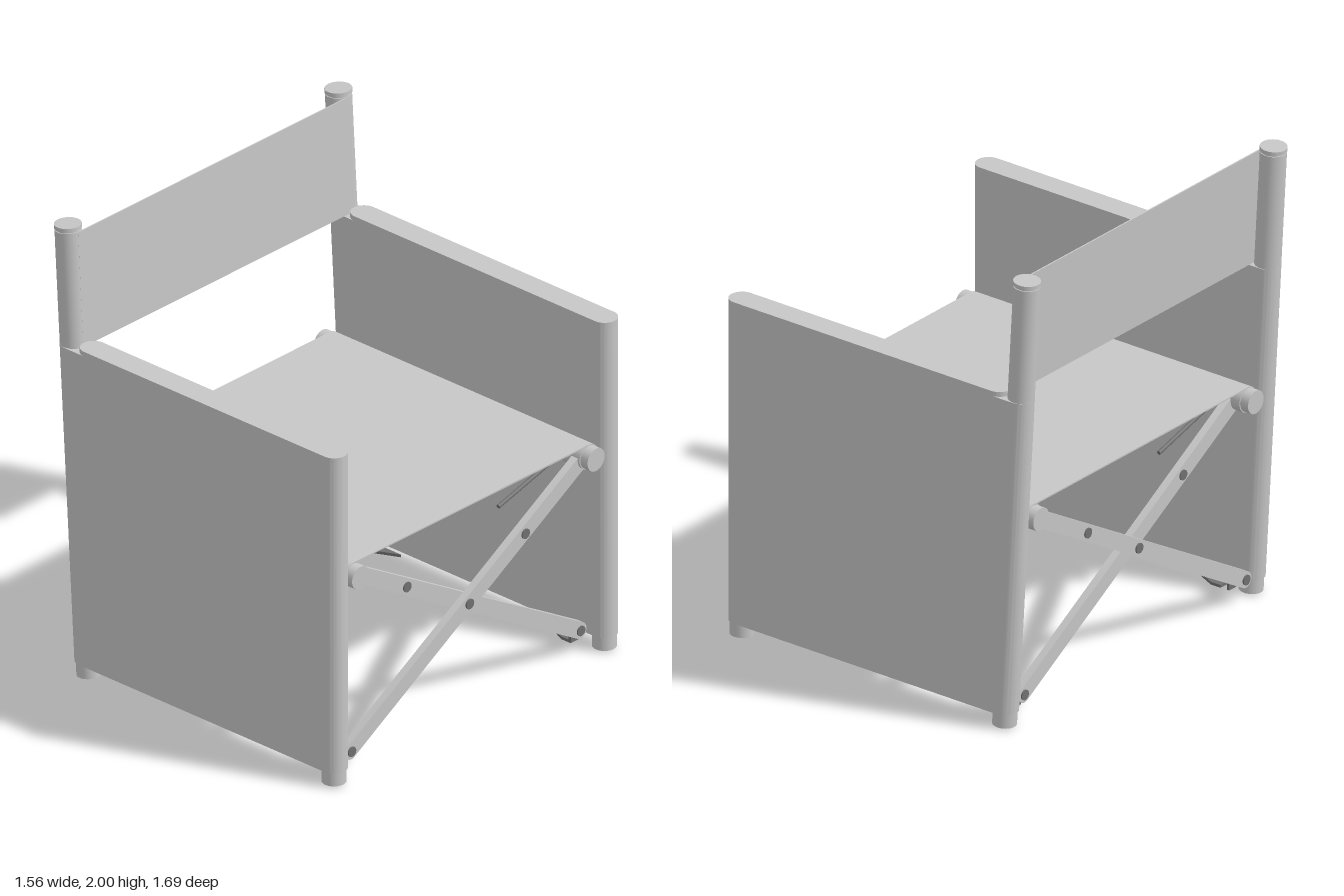
import * as THREE from 'three';
import { toCreasedNormals } from 'three/addons/utils/BufferGeometryUtils.js';

const light = new THREE.MeshStandardMaterial({ color: 0xc6c6c6 });
light.name = 'light grey';
const dark = new THREE.MeshStandardMaterial({ color: 0x707070 });
dark.name = 'dark grey metal';

const R = 0.055;      // sleeve radius
const SIDE = 0.79;    // z of the side panels
const RAIL = 0.688;   // z of the seat rails
const MID = 0.03;     // x midpoint between the two folding crosses
const rearX = y => -0.61 - 0.0575 * y; // leaning rear post centre line

export function createModel() {
  const model = new THREE.Group();
  model.name = 'foldingChair';

  const add = (name, geo, mat = light) => {
    const mesh = new THREE.Mesh(geo, mat);
    mesh.name = name;
    model.add(mesh);
    return mesh;
  };

  // round bar between two points
  const rod = (name, a, b, r, mat = light, seg = 32) => {
    const p = new THREE.Vector3(...a), q = new THREE.Vector3(...b);
    const d = q.clone().sub(p);
    const mesh = add(name, new THREE.CylinderGeometry(r, r, d.length(), seg), mat);
    mesh.position.copy(p).add(q).multiplyScalar(0.5);
    mesh.quaternion.setFromUnitVectors(new THREE.Vector3(0, 1, 0), d.normalize());
    return mesh;
  };

  // prism with two rounded ends, centred at x0 and x1
  const stadium = (x0, x1, r, depth) => {
    const s = new THREE.Shape();
    s.absarc(x1, 0, r, -Math.PI / 2, Math.PI / 2, false);
    s.absarc(x0, 0, r, Math.PI / 2, Math.PI * 1.5, false);
    s.closePath();
    return new THREE.ExtrudeGeometry(s, { depth, bevelEnabled: false, curveSegments: 16 });
  };

  for (const s of [1, -1]) {
    const z = s * SIDE;

    // side panel sleeve, its rear end leaning with the post
    const panel = stadium(-1, 0.725, R, 1.4);
    panel.rotateX(-Math.PI / 2).translate(0, 0.068, 0);
    const p = panel.attributes.position;
    for (let i = 0; i < p.count; i++) {
      if (p.getX(i) < 0) p.setX(i, p.getX(i) + 1 + rearX(p.getY(i)));
    }
    add('sidePanel', toCreasedNormals(panel, 0.6)).position.z = z;

    // arm top
    const arm = stadium(-0.585, 0.725, R, 0.022);
    arm.rotateX(-Math.PI / 2);
    add('armTop', toCreasedNormals(arm, 0.6)).position.set(0, 1.467, z);

    // posts, feet and caps
    rod('frontFoot', [0.725, 0.008, z], [0.725, 0.1, z], 0.05);
    rod('rearFoot', [rearX(0), 0.008, z], [rearX(0.1), 0.1, z], 0.05);
    rod('frontFootPlug', [0.725, 0, z], [0.725, 0.02, z], 0.026, dark);
    rod('rearFootPlug', [rearX(0), 0, z], [rearX(0), 0.02, z], 0.026, dark);
    rod('rearPost', [rearX(1.4), 1.4, z], [rearX(1.99), 1.99, z], 0.05);
    rod('backSleeve', [rearX(1.47), 1.47, z], [rearX(1.975), 1.975, z], 0.0545);
    rod('postCap', [rearX(1.98), 1.98, z], [rearX(2), 1.998, z], 0.056);

    // seat rail with its cloth sleeve
    rod('seatRail', [-0.715, 0.9, s * RAIL], [0.775, 0.9, s * RAIL], 0.05);
    rod('seatSleeve', [-0.675, 0.9, s * RAIL], [0.735, 0.9, s * RAIL], 0.0545);

    // stay rods and floor brackets
    for (const e of [1, -1]) {
      rod('stayRod', [MID + e * 0.48, 0.797, s * 0.74], [MID + e * 0.48, 0.705, s * 0.4], 0.009, dark, 12);

      const x = v => MID + 0.02 + e * v;
      const tri = new THREE.Shape([
        new THREE.Vector2(x(0.39), -s * 0.745),
        new THREE.Vector2(x(0.6), -s * 0.745),
        new THREE.Vector2(x(0.6), -s * 0.67),
        new THREE.Vector2(x(0.55), -s * 0.67),
      ]);
      const plate = new THREE.ExtrudeGeometry(tri, { depth: 0.012, bevelEnabled: false });
      plate.rotateX(-Math.PI / 2);
      add('bracketPlate', plate, dark).position.y = 0.037;
      add('bracketTab', new THREE.BoxGeometry(0.012, 0.08, 0.045), dark)
        .position.set(MID + e * 0.62, 0.08, s * 0.69);
    }
  }

  // backrest cloth, touching the front of both posts
  const back = add('backrest', new THREE.BoxGeometry(0.006, 0.506, SIDE * 2));
  back.position.set(rearX(1.7225) + R - 0.003, 1.7225, 0);
  back.rotation.z = Math.atan(0.0575);

  // seat cloth
  add('seat', new THREE.BoxGeometry(1.41, 0.006, RAIL * 2)).position.set(0.03, 0.9515, 0);

  // folding crosses at front and rear
  const span = Math.hypot(2 * RAIL, 0.8);
  const tilt = Math.atan2(0.8, 2 * RAIL);
  for (const e of [1, -1]) {
    for (const s of [1, -1]) {
      // s = -1 rises toward -z and lies on the outside
      const x = MID + e * (s < 0 ? 0.678 : 0.643);
      const bar = stadium(-span / 2, span / 2, 0.035, 0.034);
      bar.translate(0, 0, -0.017).rotateZ(s * tilt).rotateY(-Math.PI / 2);
      add('crossBar', toCreasedNormals(bar, 0.6)).position.set(x, 0.5, 0);
      for (const [y, z] of [[0.1, -s * RAIL], [0.69, s * 0.327]]) {
        rod('bolt', [x - 0.023, y, z], [x + 0.023, y, z], 0.022, dark, 20);
      }
    }
    rod('pivotBolt', [MID + e * 0.62, 0.5, 0], [MID + e * 0.702, 0.5, 0], 0.022, dark, 20);
  }

  return model;
}
